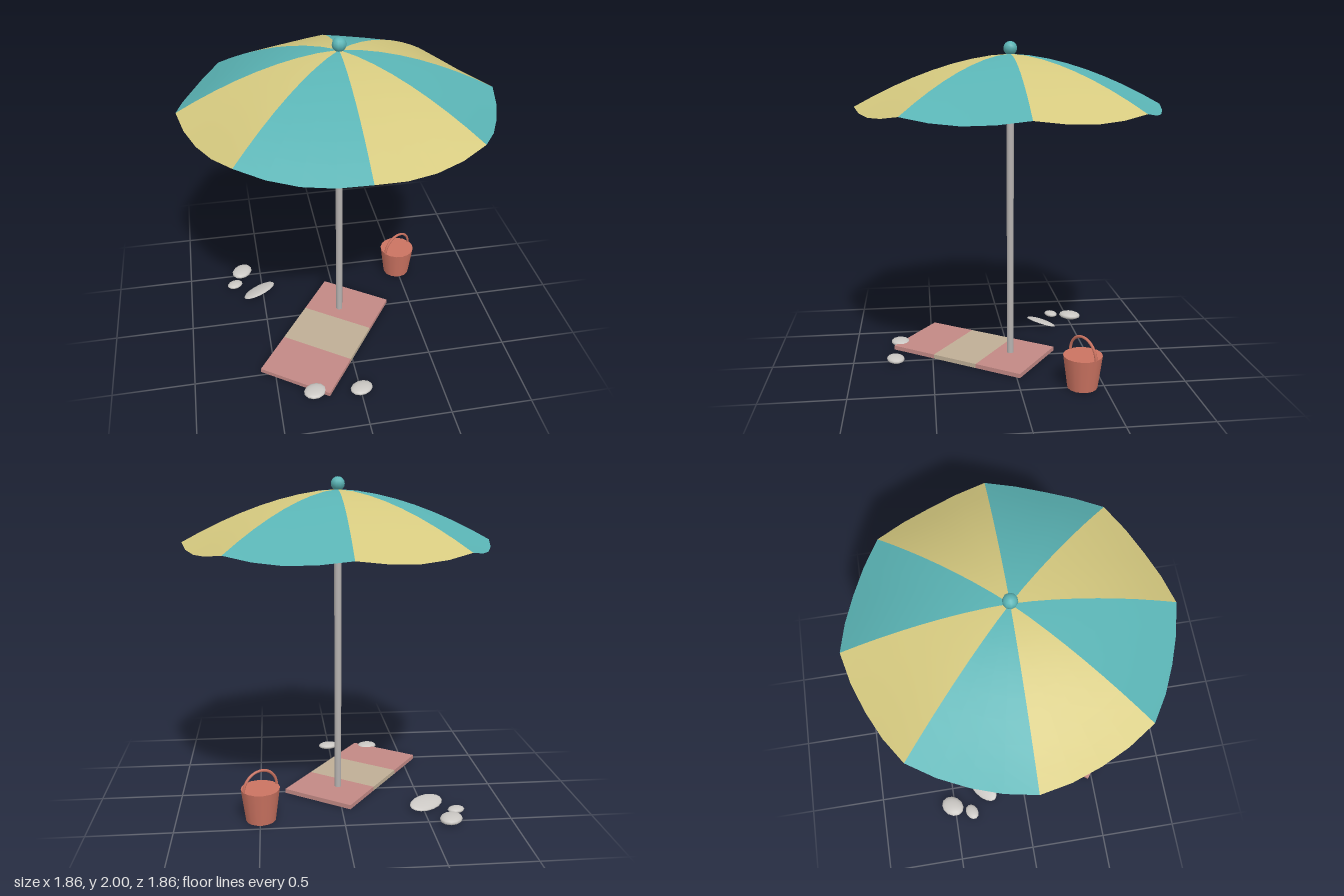
import * as THREE from 'three';

const mat = (name, color, side = THREE.FrontSide) => {
  const m = new THREE.MeshStandardMaterial({ color, side });
  m.name = name;
  return m;
};

// One canopy gore: radial rings that sag between the two ribs
function goreGeometry(rings = 8, steps = 4) {
  const pos = [], index = [], row = steps + 1;
  for (let i = 0; i <= rings; i++) {
    const t = i / rings;
    for (let j = 0; j <= steps; j++) {
      const s = j / steps, a = s * Math.PI / 4, sag = Math.sin(Math.PI * s);
      const r = t * (0.93 - 0.03 * sag * t);
      const y = 1.925 - 0.305 * Math.pow(t, 1.7) - 0.033 * sag * t * t;
      pos.push(r * Math.sin(a), y, r * Math.cos(a));
      if (i < rings && j < steps) {
        const p = i * row + j;
        index.push(p, p + row, p + row + 1);
        if (i > 0) index.push(p, p + row + 1, p + 1);
      }
    }
  }
  const g = new THREE.BufferGeometry();
  g.setAttribute('position', new THREE.Float32BufferAttribute(pos, 3));
  g.setIndex(index);
  g.computeVertexNormals();
  return g;
}

export function createModel() {
  const teal = mat('teal cloth', 0x5ab4b5, THREE.DoubleSide);
  const yellow = mat('yellow cloth', 0xd5c97f, THREE.DoubleSide);
  const grey = mat('pole grey', 0xb6b2b0);
  const pink = mat('towel pink', 0xc28985);
  const tan = mat('towel tan', 0xbfae96);
  const red = mat('bucket red', 0xcb7361);
  const shellWhite = mat('shell white', 0xcac7c3, THREE.DoubleSide);

  const model = new THREE.Group();
  const add = (parent, name, geometry, material, x = 0, y = 0, z = 0) => {
    const m = new THREE.Mesh(geometry, material);
    m.name = name;
    m.position.set(x, y, z);
    parent.add(m);
    return m;
  };
  const group = (name, x = 0, y = 0, z = 0, turn = 0) => {
    const g = new THREE.Group();
    g.name = name;
    g.position.set(x, y, z);
    g.rotation.y = turn;
    model.add(g);
    return g;
  };

  // Parasol: pole, eight gores and a ball on top
  const parasol = group('parasol');
  add(parasol, 'pole', new THREE.CylinderGeometry(0.022, 0.022, 1.82, 12), grey, 0, 0.91, 0);
  const gore = goreGeometry();
  for (let k = 0; k < 8; k++) {
    add(parasol, 'canopyPanel', gore, k % 2 ? teal : yellow).rotation.y = k * Math.PI / 4;
  }
  add(parasol, 'finial', new THREE.SphereGeometry(0.042, 10, 8), teal, 0, 1.958, 0);

  // Towel: three stripes side by side
  const towel = group('towel', -0.123, 0.0135, 0.228, -0.61);
  const stripe = new THREE.BoxGeometry(0.48, 0.027, 0.312);
  for (let i = -1; i <= 1; i++) {
    add(towel, 'towelStripe', stripe, i ? pink : tan, 0, 0, i * 0.312);
  }

  // Bucket with an arched handle
  const bucket = group('bucket', 0.495, 0, -0.37, 0.52);
  add(bucket, 'bucketBody', new THREE.CylinderGeometry(0.117, 0.09, 0.2, 16), red, 0, 0.1, 0);
  add(bucket, 'bucketHandle', new THREE.TorusGeometry(0.112, 0.009, 6, 16, Math.PI), red, 0, 0.197, 0);

  // Rounded shells lying on the sand: x, z, half sizes, turn
  const pebble = new THREE.SphereGeometry(1, 12, 8);
  const shells = [
    [-0.28, 0.71, 0.07, 0.021, 0.06, 0.3],
    [0.005, 0.735, 0.072, 0.021, 0.055, 0.3],
    [-0.63, -0.515, 0.08, 0.025, 0.065, 0.9],
    [-0.69, -0.385, 0.055, 0.018, 0.042, 0.4],
  ];
  for (const [x, z, a, b, c, turn] of shells) {
    const s = add(model, 'shell', pebble, shellWhite, x, b, z);
    s.scale.set(a, b, c);
    s.rotation.y = turn;
  }

  // Open half shell, propped up on one edge
  const dome = new THREE.SphereGeometry(1, 16, 5, 0, Math.PI * 2, 0, Math.PI / 2);
  const open = add(model, 'openShell', dome, shellWhite, -0.525, 0.021, -0.285);
  open.scale.set(0.128, 0.018, 0.068);
  open.rotation.set(-0.28, 0.61, 0, 'YXZ');

  return model;
}
